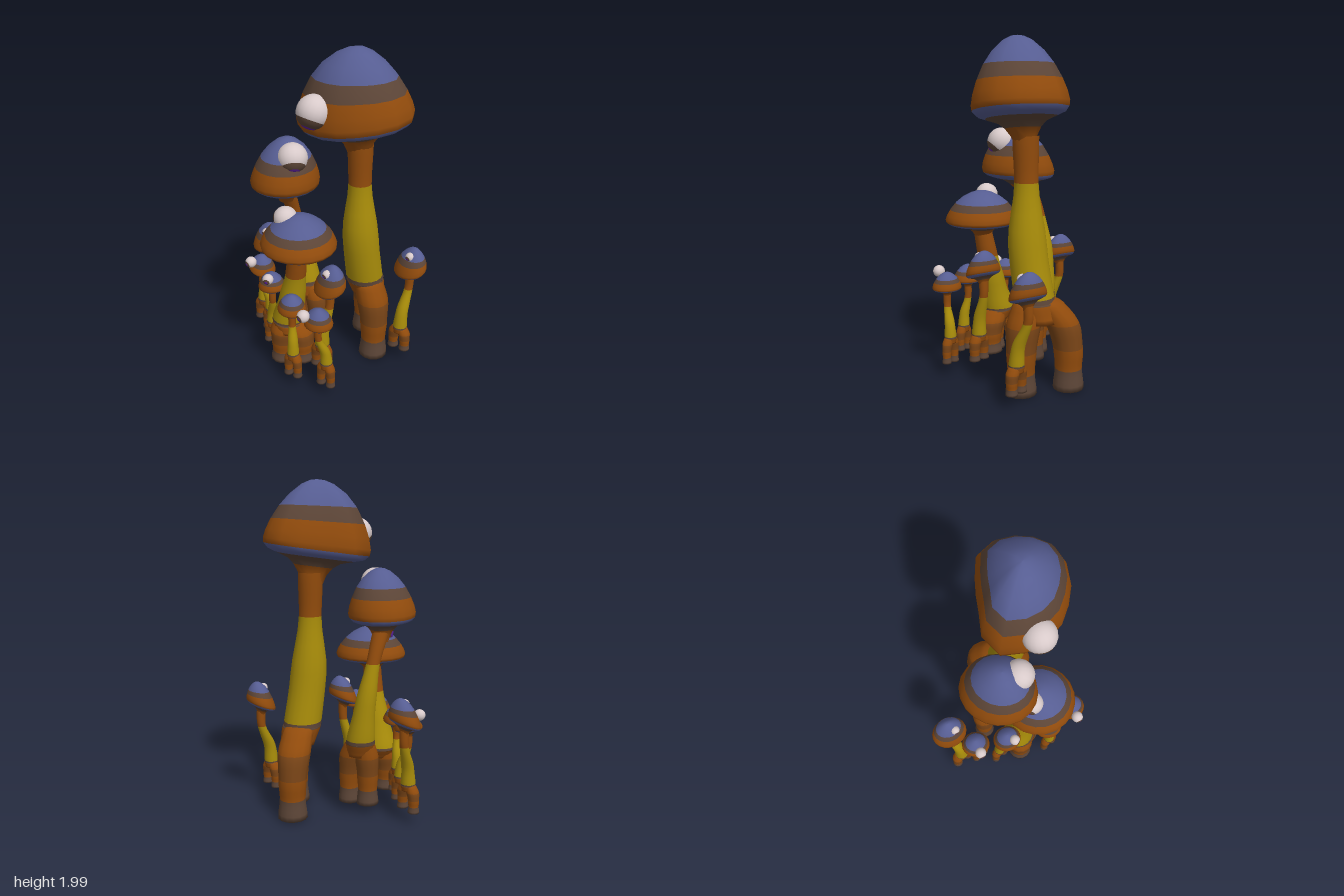
import * as THREE from 'three';

const mat = (name, color) => {
  const m = new THREE.MeshStandardMaterial({ color });
  m.name = name;
  return m;
};
const BLUE = 0, DARK = 1, ORANGE = 2, YELLOW = 3, RUSSET = 4;
const palette = [
  mat('cap blue', 0x565d92), mat('dark brown', 0x5c4537), mat('orange brown', 0x914b0c),
  mat('stem yellow', 0xa88c0a), mat('russet', 0x7a4517),
];
const white = mat('eye white', 0xd8caca);
const purple = mat('pupil purple', 0x5e22a0);
const mix = (p, q, t) => p + (q - p) * t;

// Skin a descending list of rings; each ring's colour paints the row below it.
// An optional outline scales the radius at each side.
function loft(name, rings, sides, outline) {
  const pos = [], idx = [], g = new THREE.BufferGeometry();
  rings.forEach((r, i) => {
    for (let s = 0; s < sides; s++) {
      const a = (s / sides) * Math.PI * 2, k = outline ? outline[s] : 1;
      const u = Math.cos(a) * r.a * k, v = Math.sin(a) * r.b * k;
      const c = Math.cos(r.turn || 0), n = Math.sin(r.turn || 0);
      const dx = u * c - v * n, dz = u * n + v * c;
      pos.push(r.x + dx, r.y + (r.tx || 0) * dx + (r.tz || 0) * dz, r.z + dz);
      if (i === rings.length - 1) continue;
      const A = i * sides + s, B = i * sides + (s + 1) % sides;
      idx.push(A, B, A + sides, B, B + sides, A + sides);
    }
    if (i < rings.length - 1) g.addGroup(i * sides * 6, sides * 6, r.color);
  });
  g.setAttribute('position', new THREE.Float32BufferAttribute(pos, 3));
  g.setIndex(idx);
  g.computeVertexNormals();
  const mesh = new THREE.Mesh(g, palette);
  mesh.name = name;
  return mesh;
}

// Round tube through [x, y, z, radius] points, one colour per segment, closed at the bottom.
function limb(name, pts, colors, sides) {
  const curve = new THREE.CatmullRomCurve3(pts.map(p => new THREE.Vector3(p[0], p[1], p[2])), false, 'catmullrom', 0.5);
  const rings = [], n = pts.length - 1, sub = 4;
  for (let k = 0; k <= n * sub; k++) {
    const i = Math.min(Math.floor(k / sub), n - 1);
    const r = mix(pts[i][3], pts[i + 1][3], THREE.MathUtils.smoothstep(k / sub - i, 0, 1));
    const p = curve.getPoint(k / (n * sub));
    rings.push({ x: p.x, y: p.y, z: p.z, a: r, b: r, color: colors[i] });
  }
  rings.push({ ...rings[rings.length - 1], a: 0, b: 0 });
  return loft(name, rings, sides);
}

// Cap profile from the tip down: radius, height, colour of the row below.
const CAP = [
  [0, 1, BLUE], [0.14, 0.985, BLUE], [0.3, 0.93, BLUE], [0.53, 0.79, BLUE], [0.72, 0.61, DARK],
  [0.87, 0.4, ORANGE], [0.96, 0.22, ORANGE], [1, 0.08, ORANGE], [0.985, 0.0, BLUE],
  [0.9, -0.07, BLUE], [0.74, -0.11, DARK], [0.5, -0.17, DARK], [0.37, -0.25, ORANGE],
  [0.27, -0.36, ORANGE], [0.21, -0.5, ORANGE],
];

// The rim tilts most; the tip may be shifted sideways, and the underside leans to the stem.
function makeCap({ at: [x, y, z], size: [a, b, h], turn = 0, tilt = [0, 0], tip = [0, 0], outline }, neck) {
  return loft('cap', CAP.map(([r, t, color]) => {
    const k = Math.max(0, -t * 2), up = Math.max(0, t);
    const lean = THREE.MathUtils.clamp(1 - t * 1.2, 0.1, 1);
    return {
      x: x + (neck[0] - x) * k + tip[0] * up, y: y + t * h, z: z + (neck[2] - z) * k + tip[1] * up,
      a: r * a, b: r * b, turn, tx: tilt[0] * lean, tz: tilt[1] * lean, color,
    };
  }), outline ? outline.length : 20, outline);
}

function makeEye([x, y, z, r], dir, iris) {
  const eye = new THREE.Group();
  eye.name = 'eye';
  const part = (name, radius, theta, m) => {
    const mesh = new THREE.Mesh(new THREE.SphereGeometry(radius, 20, 14, 0, Math.PI * 2, 0, theta), m);
    mesh.name = name;
    eye.add(mesh);
  };
  part('eyeball', r, Math.PI, white);
  part('iris', r * 1.015, iris, palette[DARK]);
  part('pupil', r * 1.03, iris * 0.47, purple);
  eye.position.set(x, y, z);
  eye.quaternion.setFromUnitVectors(new THREE.Vector3(0, 1, 0), new THREE.Vector3(...dir).normalize());
  return eye;
}

function makeMushroom({ name, cap, stem, feet, eye, look, iris = 0.65 }) {
  const g = new THREE.Group();
  g.name = name;
  g.add(makeCap(cap, stem[0]));

  // Stem, continued as a short pelvis between the legs
  const w = stem[stem.length - 1], [f1, f2] = feet;
  const y0 = Math.min(f1[1], f2[1]);
  const px = mix(w[0], (f1[0] + f2[0]) / 2, 0.6), pz = mix(w[2], (f1[2] + f2[2]) / 2, 0.6);
  const colors = stem.slice(1).map((_, i) => (i === 0 ? ORANGE : YELLOW));
  g.add(limb('stem', [...stem,
    [mix(w[0], px, 0.2), mix(w[1], y0, 0.06), mix(w[2], pz, 0.2), w[3] * 1.03],
    [px, mix(w[1], y0, 0.25), pz, w[3] * 0.92]], [...colors, DARK, ORANGE], 18));

  // Two bowed legs with stubby feet, rounded into the hips
  const rows = [[0.15, -0.01, 0.4], [0.4, 0.08, 0.8], [0.8, 0.28, 0.86], [0.98, 0.55, 0.75], [1, 0.78, 0.68], [1, 1, 0.78]];
  for (const f of feet) {
    g.add(limb('leg', rows.map(([t, d, r]) =>
      [mix(w[0], f[0], t), mix(w[1], f[1], d), mix(w[2], f[2], t), w[3] * r]),
    [ORANGE, ORANGE, RUSSET, ORANGE, DARK], 14));
  }
  if (eye) g.add(makeEye(eye, look, iris));
  return g;
}

// Small mushroom: cap position, waist position, optional eye
function makeSmall(name, [cx, cy, cz], tall, [wx, wz], tilt, eye, look = [0, -0.25, 1]) {
  const s = tall ? 1 : 0.82;
  const step = (t, out, r) => [mix(cx, wx, out), mix(cy - 0.04, 0.25, t), mix(cz, wz, out), r * s];
  return makeMushroom({
    name, eye, look,
    cap: {
      at: [cx, cy, cz], size: tall ? [0.112, 0.086, 0.145] : [0.09, 0.082, 0.1],
      turn: 0.1, tilt, tip: tall ? [0.01, -0.02] : [0, 0],
    },
    stem: [step(0, -0.05, 0.028), step(0.3, 0, 0.026), step(0.68, 0.8, 0.037), step(1, 1, 0.044)],
    feet: [[wx - 0.042 * s, 0.08, wz + 0.01], [wx + 0.042 * s, 0.09, wz - 0.005]],
  });
}

export function createModel() {
  const model = new THREE.Group();
  model.name = 'mushroomCluster';
  model.add(
    makeMushroom({
      name: 'tallMushroom',
      cap: {
        at: [0.2, 1.6, -0.135], size: [1, 1, 0.4], tilt: [0.06, -0.12], tip: [-0.01, 0.03],
        outline: [0.29, 0.275, 0.268, 0.283, 0.3, 0.325, 0.352, 0.31, 0.238, 0.225, 0.24, 0.29, 0.298, 0.292, 0.294, 0.302],
      },
      stem: [[0.18, 1.46, -0.16, 0.075], [0.18, 1.2, -0.165, 0.068], [0.185, 0.85, -0.178, 0.11], [0.18, 0.56, -0.225, 0.115]],
      feet: [[0.285, 0.01, -0.225], [0.05, 0.015, -0.375]],
      eye: [0.154, 1.69, 0.155, 0.093], look: [0, -0.9, 0.42], iris: 1.1,
    }),
    makeMushroom({
      name: 'middleMushroom',
      cap: { at: [-0.092, 1.205, 0.172], size: [0.225, 0.2, 0.285], turn: 0.87, tilt: [0.02, 0.03], tip: [0.025, 0] },
      stem: [[-0.135, 1.13, 0.135, 0.05], [-0.158, 0.94, 0.06, 0.041], [-0.15, 0.7, 0.012, 0.062], [-0.12, 0.48, 0, 0.086]],
      feet: [[-0.13, 0.07, 0.045], [-0.03, 0.07, -0.02]],
      eye: [0.022, 1.4, 0.2, 0.086], look: [0.6, -0.75, 0.35], iris: 0.9,
    }),
    makeMushroom({
      name: 'shortMushroom',
      cap: { at: [0.14, 0.92, 0.255], size: [0.222, 0.218, 0.19] },
      stem: [[0.13, 0.86, 0.26, 0.056], [0.1, 0.7, 0.25, 0.062], [0.06, 0.52, 0.25, 0.08], [0.02, 0.36, 0.25, 0.1]],
      feet: [[0.02, 0.07, 0.295], [0.115, 0.09, 0.22]],
      eye: [0.067, 1.075, 0.29, 0.068], look: [-0.75, -0.12, 0.55], iris: 0.72,
    }),
    makeSmall('smallMushroomA', [-0.405, 0.635, 0.105], true, [-0.372, 0.165], [0.08, -0.35], [-0.372, 0.735, 0.13, 0.028]),
    makeSmall('smallMushroomB', [0.255, 0.635, 0.12], true, [0.25, 0.17], [0.08, -0.35], [0.262, 0.735, 0.145, 0.028]),
    makeSmall('smallMushroomC', [0.405, 0.635, -0.395], true, [0.42, -0.325], [0.08, -0.35], [0.422, 0.735, -0.37, 0.028]),
    makeSmall('smallMushroomD', [-0.285, 0.545, 0.23], false, [-0.25, 0.2], [-0.2, 0], [-0.29, 0.62, 0.31, 0.035]),
    makeSmall('smallMushroomE', [-0.09, 0.535, 0.292], false, [-0.13, 0.27], [0.1, 0], [-0.06, 0.62, 0.34, 0.033], [0.5, -0.2, 0.8]),
    makeSmall('smallMushroomF', [0.382, 0.535, 0.305], false, [0.4, 0.26], [0, 0], [0.366, 0.62, 0.4, 0.036]),
    makeSmall('smallMushroomG', [0.185, 0.54, 0.345], false, [0.21, 0.36], [0, 0]),
  );
  return model;
}
